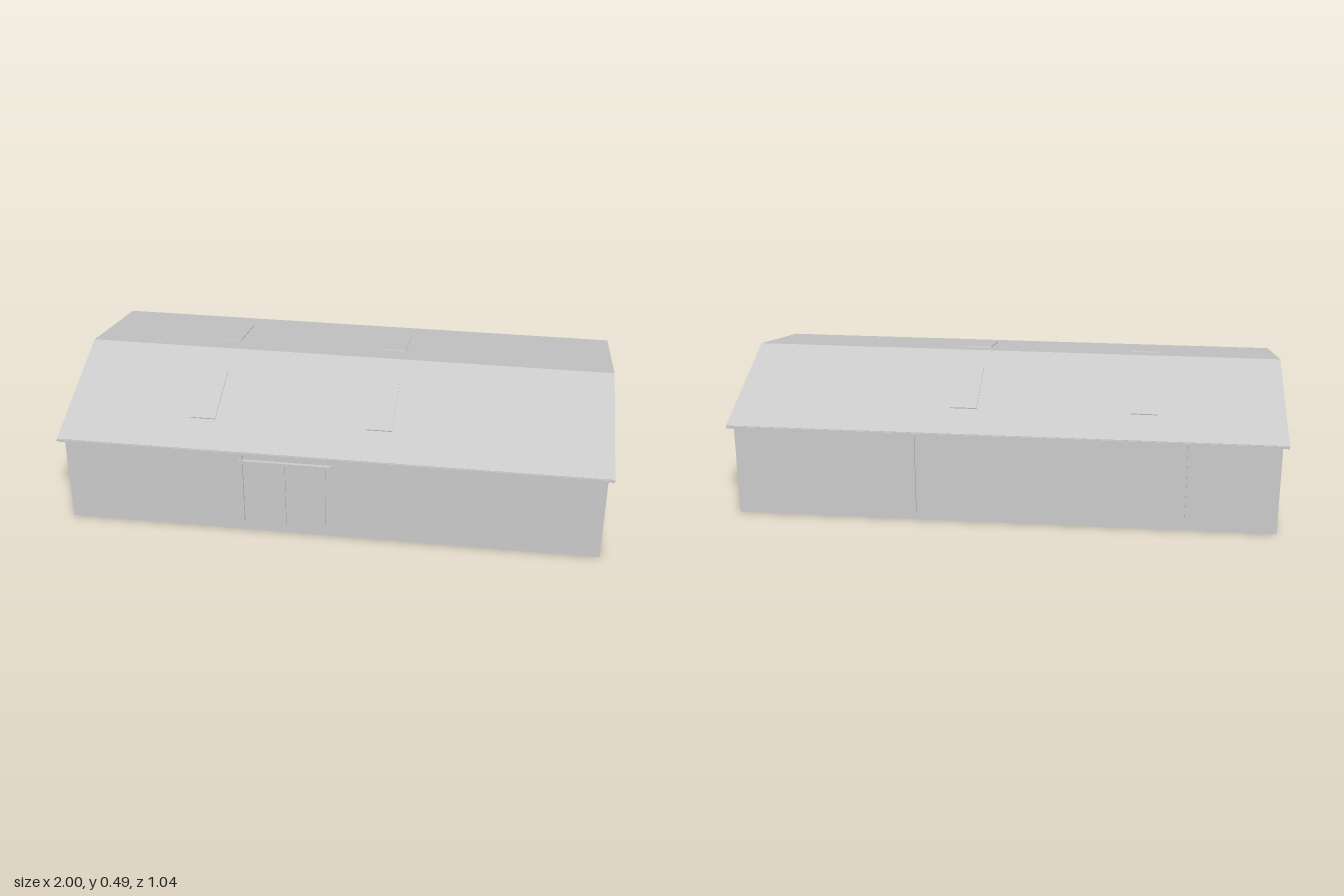
import * as THREE from 'three';

const grey = new THREE.MeshStandardMaterial({ color: 0xcccccc });
grey.name = 'light grey';

// Roof pitch: top surface height at distance z from the ridge
const RIDGE = 0.49, EAVE = 0.355, HALF = 0.515;
const roofY = (z) => RIDGE - (RIDGE - EAVE) * Math.abs(z) / HALF;
const PITCH = Math.atan((RIDGE - EAVE) / HALF);

function add(parent, name, geometry, x = 0, y = 0, z = 0) {
  const mesh = new THREE.Mesh(geometry, grey);
  mesh.name = name;
  mesh.position.set(x, y, z);
  parent.add(mesh);
  return mesh;
}

// Extrudes a (z, y) outline along x, centred on x = 0
function extrudeAlongX(points, length) {
  const shape = new THREE.Shape(points.map(([z, y]) => new THREE.Vector2(-z, y)));
  const geo = new THREE.ExtrudeGeometry(shape, { depth: length, bevelEnabled: false });
  geo.translate(0, 0, -length / 2);
  return geo.rotateY(Math.PI / 2);
}

// Pair of sliding leaves under a rail, facing +z with its back at z = 0
function slidingDoor(name) {
  const door = new THREE.Group();
  door.name = name;
  for (const s of [-1, 1]) {
    add(door, 'doorLeaf', new THREE.BoxGeometry(0.145, 0.262, 0.007), s * 0.0738, 0.166, 0.0035);
  }
  add(door, 'doorRail', new THREE.BoxGeometry(0.336, 0.011, 0.011), 0, 0.303, 0.0055);
  return door;
}

export function createModel() {
  const model = new THREE.Group();
  model.name = 'barn';

  // Thin shell walls, open underneath
  const T = 0.006, WX = 0.98, WZ = 0.49, DROP = 0.007;
  const wallTop = roofY(WZ) - DROP;
  for (const s of [-1, 1]) {
    add(model, s > 0 ? 'frontWall' : 'backWall',
      new THREE.BoxGeometry(2 * WX - 2 * T, wallTop, T), 0, wallTop / 2, s * (WZ - T / 2));
    add(model, s > 0 ? 'leftGable' : 'rightGable',
      extrudeAlongX([[-WZ, 0], [-WZ, wallTop], [0, RIDGE - DROP], [WZ, wallTop], [WZ, 0]], T),
      s * (WX - T / 2));
  }

  // Pitched roof sheet overhanging on all sides
  add(model, 'roof', extrudeAlongX([
    [-HALF, EAVE], [0, RIDGE], [HALF, EAVE],
    [HALF, EAVE - 0.007], [0, RIDGE - 0.007], [-HALF, EAVE - 0.007],
  ], 2));

  for (const s of [-1, 1]) {
    // Eaves gutter
    add(model, 'gutter', new THREE.BoxGeometry(2, 0.008, 0.007), 0, 0.3485, s * 0.5145);

    // Skylights lying on the slope
    for (const x of [-0.492, 0.16]) {
      const z = s * 0.245;
      const light = add(model, 'skylight', new THREE.BoxGeometry(0.095, 0.008, 0.255), x, roofY(z), z);
      light.rotation.x = s * PITCH;
    }

    // Downpipes
    for (const x of [-0.325, 0.655]) {
      add(model, 'downpipe', new THREE.BoxGeometry(0.008, 0.315, 0.01), s * x, 0.1925, s * (WZ + 0.005));
    }
  }

  // Sliding doors on the front wall and the left gable
  const frontDoor = slidingDoor('frontDoor');
  frontDoor.position.set(-0.165, 0, WZ);
  const gableDoor = slidingDoor('gableDoor');
  gableDoor.position.set(WX, 0, 0);
  gableDoor.rotation.y = Math.PI / 2;
  model.add(frontDoor, gableDoor);

  return model;
}
